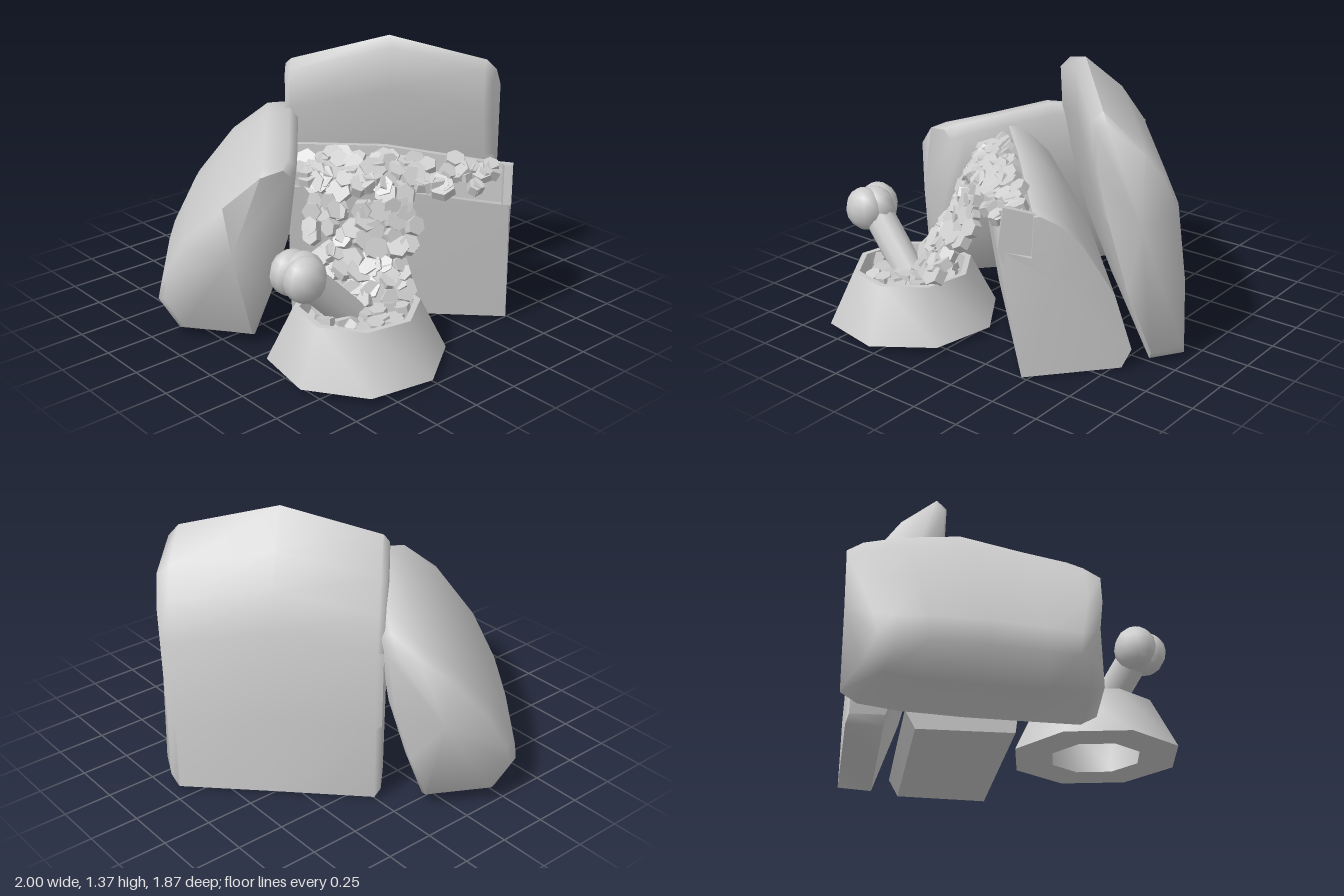
import * as THREE from 'three';
import { mergeGeometries, toCreasedNormals } from 'three/addons/utils/BufferGeometryUtils.js';

const grey = () => new THREE.MeshStandardMaterial({ color: 0xcccccc });
const flat = () => new THREE.MeshStandardMaterial({ color: 0xcccccc, flatShading: true });

function named(name, geometry, material) {
  const mesh = new THREE.Mesh(geometry, material);
  mesh.name = name;
  return mesh;
}

// Small seeded generator for the pebbles
function seeded(seed) {
  return () => {
    seed = (seed * 16807) % 2147483647;
    return seed / 2147483647;
  };
}

// Loft a closed profile of [z, y] points (top, front, bottom, back) along x.
// Each station is [x, inset toward the middle, height factor, bow of the section].
function loft(profile, stations, crease) {
  const n = profile.length;
  const mid = [0, 1].map(k => profile.reduce((s, p) => s + p[k], 0) / n);
  const pos = [], idx = [];
  for (const [x, inset, tall, bow = 0] of stations) {
    for (const [z, y] of profile) {
      const dz = (z - mid[0]) * inset;
      pos.push(x + bow * dz * dz, (mid[1] + (y - mid[1]) * inset) * tall, mid[0] + dz);
    }
  }
  for (let i = 0; i < stations.length - 1; i++) {
    for (let j = 0; j < n; j++) {
      const a = i * n + j, b = i * n + (j + 1) % n;
      idx.push(a, b, a + n, b, b + n, a + n);
    }
  }
  const last = (stations.length - 1) * n, c0 = pos.length / 3;
  const s0 = stations[0], s1 = stations[stations.length - 1];
  pos.push(s0[0], mid[1] * s0[2], mid[0], s1[0], mid[1] * s1[2], mid[0]);
  for (let j = 0; j < n; j++) {
    const k = (j + 1) % n;
    idx.push(c0, k, j, c0 + 1, last + j, last + k);
  }
  const g = new THREE.BufferGeometry();
  g.setAttribute('position', new THREE.Float32BufferAttribute(pos, 3));
  g.setIndex(idx);
  return toCreasedNormals(g, crease);
}

// Thin hexagonal stones laid along the trough, down the fall and into the tub
function pebbleGeometry() {
  const rnd = seeded(4711), up = new THREE.Vector3(0, 1, 0), parts = [];
  const range = (a, b) => a + (b - a) * rnd();
  const lay = (u, y, v, normal, size) => {
    const r = size * range(0.75, 1.15);
    const g = new THREE.CylinderGeometry(r * 0.92, r, range(0.035, 0.055), 6);
    g.rotateY(range(0, 6.28));
    g.scale(range(0.85, 1.15), 1, 1);
    const tilt = new THREE.Vector3(range(-0.45, 0.45), range(-0.3, 0.3), range(-0.45, 0.45));
    g.applyQuaternion(new THREE.Quaternion().setFromUnitVectors(up, tilt.add(normal).normalize()));
    g.translate(u, y, v);
    parts.push(g);
  };
  // trough
  for (let i = 0; i < 50; i++) {
    const t = (i + rnd()) / 50, k = rnd();
    lay(-0.16 + 0.95 * t, 0.85 - 0.11 * k + 0.03 * (1 - t), 0.17 + 0.13 * k,
      new THREE.Vector3(0, 1, 0.5), 0.058);
  }
  // fall
  const path = new THREE.CatmullRomCurve3([[0.85, 0.2], [0.77, 0.33], [0.6, 0.41], [0.42, 0.51], [0.29, 0.62]]
    .map(([y, v]) => new THREE.Vector3(0, y, v)));
  const rows = 12, cols = 7;
  for (let i = 0; i < rows; i++) {
    for (let j = 0; j < cols; j++) {
      const t = Math.min(1, (i + rnd()) / rows), s = (j + rnd()) / cols;
      const p = path.getPoint(t), d = path.getTangent(t);
      const bulge = 0.05 * Math.sin(Math.PI * s) - 0.03;
      lay(-0.16 + 0.08 * t + s * (0.58 - 0.1 * t), p.y, p.z + bulge,
        new THREE.Vector3((s - 0.5) * 0.7, d.z, -d.y), 0.062);
    }
  }
  // tub filling
  for (let i = 0; i < 36; i++) {
    const a = i * 2.4, r = 0.21 * Math.sqrt((i + 0.5) / 36);
    lay(0.15 + r * Math.cos(a), 0.24 + 0.03 * rnd(), 0.67 + r * Math.sin(a), up, 0.056);
  }
  return mergeGeometries(parts);
}

// Club with a rounded shaft and a two-lobed head
function createPestle() {
  const g = new THREE.Group();
  g.name = 'pestle';
  const from = new THREE.Vector3(0.57, 0.24, 0.4), to = new THREE.Vector3(0.53, 0.53, 0.68);
  const shaft = named('pestleShaft', new THREE.CylinderGeometry(0.08, 0.08, from.distanceTo(to), 10), grey());
  shaft.position.copy(from).lerp(to, 0.5);
  shaft.quaternion.setFromUnitVectors(new THREE.Vector3(0, 1, 0), to.clone().sub(from).normalize());
  g.add(shaft);
  for (const [side, depth] of [[-1, 0.69], [0, 0.665], [1, 0.69]]) {
    const lobe = named('pestleLobe', new THREE.SphereGeometry(0.11, 10, 8), grey());
    lobe.scale.set(0.82, 1.02, 1);
    lobe.position.set(0.53 + side * 0.05, 0.525, depth);
    g.add(lobe);
  }
  return g;
}

export function createModel() {
  const model = new THREE.Group();
  model.name = 'rockFountain';

  // Two slabs and the pebbles share a frame turned 45 degrees
  const turned = new THREE.Group();
  turned.name = 'slabs';
  turned.rotation.y = Math.PI / 4;
  model.add(turned);

  turned.add(named('backSlab', loft(
    [[-0.19, 1.26], [-0.14, 1.21], [-0.15, 1.0], [-0.2, 0.75], [-0.29, 0.4], [-0.43, 0.015],
      [-0.61, 0.015], [-0.6, 0.4], [-0.55, 0.8], [-0.48, 0.97], [-0.37, 1.12]],
    [[-0.28, 0.94, 0.99], [-0.25, 1, 0.99], [0.25, 1, 1.095], [0.77, 1, 1, -0.7], [0.83, 0.92, 0.99, -1.2]],
    1.2), grey()));

  turned.add(named('frontSlab', loft(
    [[0.11, 0.82], [0.14, 0.82], [0.15, 0.62], [0.28, 0.65], [0.305, 0.67], [0.28, 0.5], [0.2, 0.015],
      [-0.28, 0.015], [-0.33, 0.1], [-0.24, 0.4], [-0.08, 0.67], [0.02, 0.77]],
    [[-0.22, 1, 1.1], [0.25, 1, 1.1], [0.78, 1, 1.01], [0.885, 1, 1, -0.4]], 0.7), grey()));

  // Upright lip closing the trough, highest at its outer corner
  turned.add(named('troughLip', loft(
    [[0.1, 0.815], [0.275, 0.865], [0.302, 0.67], [0.27, 0.56], [0.1, 0.56]],
    [[0.83, 1, 1], [0.862, 1, 1]], 0.4), grey()));

  turned.add(named('pebbles', pebbleGeometry(), flat()));

  // Leaning boulder beside the slabs, bowed outward at both ends
  const boulder = named('sideBoulder', loft(
    [[0.24, 0.95], [0.36, 0.93], [0.56, 0.77], [0.76, 0.52], [0.88, 0.28], [0.91, 0.15], [0.8, 0.02],
      [0.42, 0.01], [0.33, 0.25], [0.24, 0.55], [0.2, 0.9]],
    [[-0.7, 0.86, 0.95, 0.9], [-0.62, 0.96, 0.97, 0.8], [-0.42, 1, 1.01, 0.3], [-0.12, 1.01, 1.05],
      [0.2, 1, 1, -0.3], [0.45, 0.99, 0.97, -1], [0.53, 0.9, 0.98, -1.3]], 1.3), grey());
  boulder.rotation.y = -0.685;
  model.add(boulder);

  // Eight-sided tub with an open middle
  const tub = named('tub', toCreasedNormals(new THREE.LatheGeometry(
    [[0.235, 0.035], [0.435, 0.035], [0.305, 0.3], [0.275, 0.3], [0.235, 0.035]]
      .map(([r, y]) => new THREE.Vector2(r, y)), 8, 0.21), 0.9), grey());
  tub.material.side = THREE.DoubleSide;
  tub.position.set(0.575, 0, 0.37);
  model.add(tub);

  model.add(createPestle());
  return model;
}
